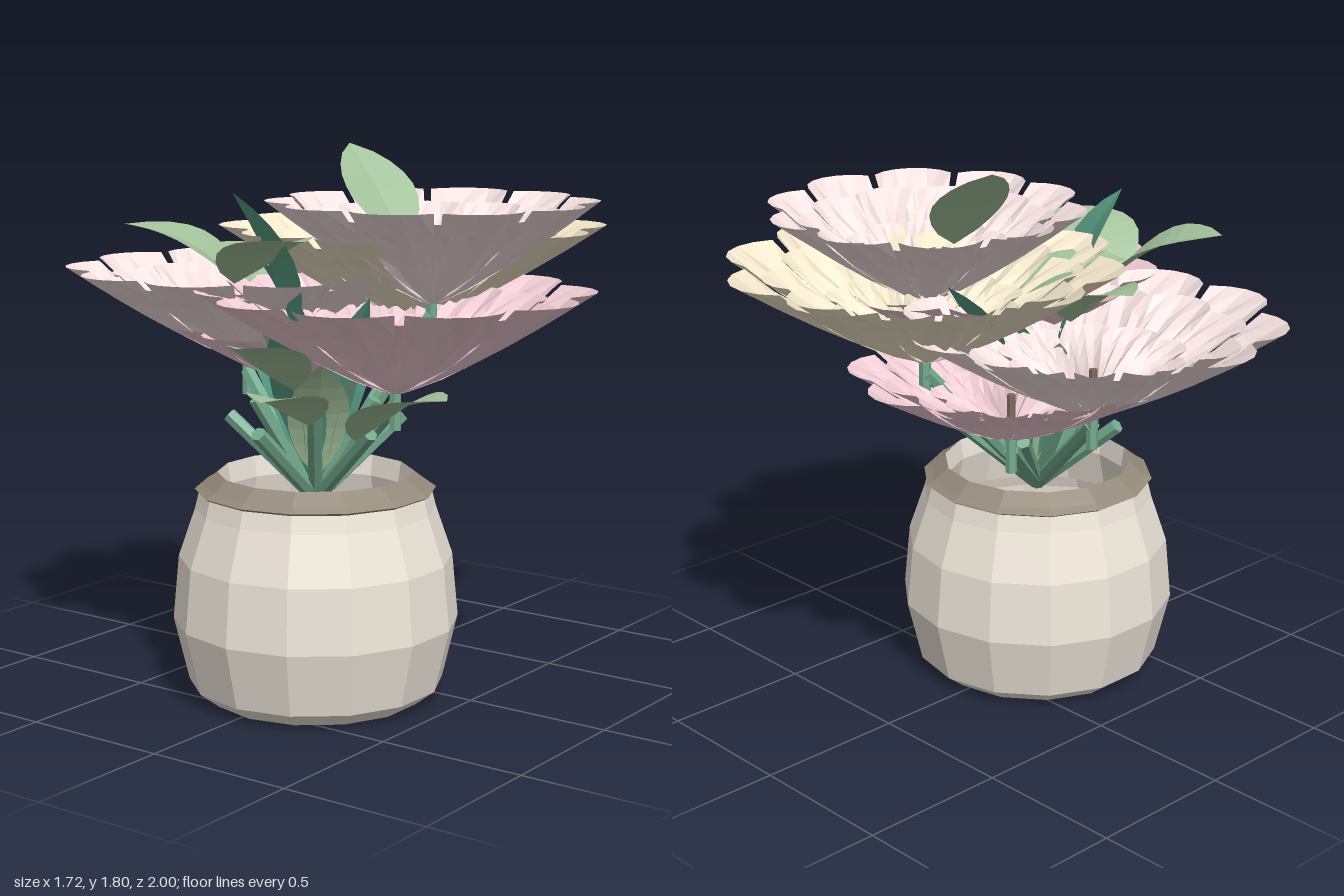
import * as THREE from 'three';

const mat = (color) => new THREE.MeshStandardMaterial({ color, flatShading: true, side: THREE.DoubleSide });
const V = (a) => new THREE.Vector3(...a);
const ceramic = mat(0xeee6da), rimMat = mat(0x958b7b);
const stemMat = mat(0x74ab8e), pistilMat = mat(0x7d6b5a);
const leafMat = mat(0xa3c29b), darkLeafMat = mat(0x5b9f86);
const palePink = mat(0xf6e2e0), cream = mat(0xf4e8cc), pink = mat(0xf0ccd4);
const POT = { x: -0.22, z: 0.03 };

// Grid surface: rule(s, t) gives a point; s runs -1..1 across, t runs 0..1 along
function sheet(across, along, rule) {
  const g = new THREE.PlaneGeometry(2, 1, across, along);
  const p = g.attributes.position;
  for (let i = 0; i < p.count; i++) p.setXYZ(i, ...rule(p.getX(i), p.getY(i) + 0.5));
  g.computeVertexNormals();
  return g;
}

function add(parent, name, geometry, material) {
  const m = new THREE.Mesh(geometry, material);
  m.name = name;
  parent.add(m);
  return m;
}

// Fan-shaped petal pointing along +z, lightly pleated, with a rounded tip and a level rim
function petalGeometry(R, H, W) {
  return sheet(6, 5, (s, t) => {
    const a = s * Math.PI * 0.36;
    const w = W * (0.12 + 0.88 * Math.pow(t, 0.85));
    const pleat = Math.round((s + 1) * 3) % 2 ? 0.018 : -0.008;
    const r = R * (0.04 + 0.96 * t) - W * t * t * (1 - Math.cos(a));
    return [-w * Math.sin(a), H * Math.pow(t, 1.1) + pleat * 4 * t * (1 - t), r];
  });
}

// Flower: rings of petals, each smaller and lower than the one outside it
function flower(name, [x, bottom, z], R, top, material, turn) {
  const f = new THREE.Group();
  f.name = name;
  const rings = [[1, 1, 10], [0.8, 0.84, 10], [0.5, 0.55, 9]];
  rings.forEach(([rs, hs, n], k) => {
    const g = petalGeometry(R * rs, (top - bottom) * hs, R * rs * 2.75 / n);
    for (let i = 0; i < n; i++) {
      const m = add(f, 'petal', g, material);
      m.rotation.y = turn + ((i + k * 0.5) / n) * Math.PI * 2;
      m.position.y = 0.015 * k;
    }
  });
  // upright stalk below, thin pistil above
  add(f, 'stalk', new THREE.CylinderGeometry(0.02, 0.02, 0.14, 6), stemMat).position.y = -0.05;
  add(f, 'pistil', new THREE.CylinderGeometry(0.014, 0.014, 0.14, 6), pistilMat).position.y = 0.08;
  f.position.set(x, bottom, z);
  return f;
}

function stem(parent, a, b) {
  const from = V(a), to = V(b), d = to.clone().sub(from);
  const m = add(parent, 'stem', new THREE.CylinderGeometry(0.025, 0.025, d.length(), 6), stemMat);
  m.position.copy(from).add(to).multiplyScalar(0.5);
  m.quaternion.setFromUnitVectors(new THREE.Vector3(0, 1, 0), d.normalize());
}

// Oval leaf from base to tip, arched along its length and folded at the midrib
function leaf(parent, a, b, width, material = leafMat, arch = 0.04) {
  const base = V(a), dir = V(b).sub(base);
  const side = dir.clone().cross(new THREE.Vector3(0, 1, 0)).normalize();
  const normal = side.clone().cross(dir).normalize();
  add(parent, 'leaf', sheet(4, 8, (s, t) => {
    const w = 0.5 * width * Math.pow(Math.max(0, Math.sin(Math.PI * Math.pow(t, 0.95))), 0.75);
    const lift = arch * Math.sin(Math.PI * t) + 0.15 * w * Math.abs(s);
    return base.clone().addScaledVector(dir, t)
      .addScaledVector(side, w * s).addScaledVector(normal, lift).toArray();
  }), material);
}

export function createModel() {
  const model = new THREE.Group();
  model.name = 'flowerPot';

  // Pot, open at the top and underneath
  const pot = new THREE.Group();
  pot.name = 'pot';
  pot.position.set(POT.x, 0, POT.z);
  pot.rotation.y = Math.PI / 2;
  const lathe = (pts) => new THREE.LatheGeometry(pts.map((p) => new THREE.Vector2(...p)), 14);
  add(pot, 'potBody', lathe([[0.355, 0], [0.42, 0.05], [0.47, 0.26], [0.45, 0.47],
    [0.395, 0.63], [0.38, 0.69]]), ceramic);
  add(pot, 'potRim', lathe([[0.37, 0.68], [0.395, 0.695], [0.37, 0.71], [0.32, 0.75]]), rimMat);
  add(pot, 'potLining', lathe([[0.32, 0.75], [0.31, 0.68], [0.34, 0.55]]), ceramic);
  model.add(pot);

  // Flowers: name, base, radius, top height, colour, turn
  const flowers = [
    ['topFlower', [0.02, 1.3, 0.32], 0.54, 1.63, palePink, 0],
    ['creamFlower', [0.23, 1.19, 0.1], 0.65, 1.525, cream, 0],
    ['frontPinkFlower', [-0.255, 1.05, 0.37], 0.63, 1.37, pink, 0],
    ['backFlower', [-0.06, 1.06, -0.38], 0.615, 1.38, palePink, 0],
    ['lowPinkFlower', [0.07, 0.945, -0.14], 0.53, 1.19, pink, 0.2],
  ];
  for (const f of flowers) model.add(flower(...f));

  // Stems: one to each flower, and a fan of short ones around the pot
  const stems = new THREE.Group();
  stems.name = 'stems';
  const root = [POT.x, 0.66, POT.z];
  for (const [, [x, y, z]] of flowers) stem(stems, root, [x, y - 0.04, z]);
  for (let i = 0; i < 10; i++) {
    const a = (i / 10) * Math.PI * 2;
    const r = i % 2 ? 0.3 : 0.2;
    stem(stems, root, [POT.x + r * Math.cos(a), i % 2 ? 0.92 : 1.0, POT.z + r * Math.sin(a)]);
  }
  model.add(stems);

  // Leaves: broad pale ones reaching out
  const leaves = new THREE.Group();
  leaves.name = 'leaves';
  leaf(leaves, [-0.04, 1.5, 0.25], [0.05, 1.8, -0.03], 0.27, leafMat, 0.01);
  leaf(leaves, [-0.44, 1.38, -0.1], [-0.6, 1.56, -0.44], 0.33);
  leaf(leaves, [-0.47, 1.38, -0.1], [-0.56, 1.54, 0.25], 0.31);
  leaf(leaves, [-0.42, 1.05, 0.1], [-0.86, 1.25, 0.22], 0.24);
  leaf(leaves, [-0.4, 0.94, 0.14], [-0.82, 1.09, 0.28], 0.24);
  leaf(leaves, [-0.4, 0.91, 0.32], [-0.43, 1.08, 0.68], 0.32);
  leaf(leaves, [-0.16, 1.3, -0.18], [-0.13, 1.46, -0.48], 0.28);
  leaf(leaves, [-0.08, 1.36, 0], [-0.4, 1.47, -0.2], 0.28);

  // Dark upright leaves filling the middle
  leaf(leaves, [-0.32, 1.2, 0.02], [-0.5, 1.67, -0.08], 0.24, darkLeafMat);
  leaf(leaves, [-0.2, 1.05, -0.05], [-0.32, 1.46, -0.14], 0.26, darkLeafMat);
  leaf(leaves, [0.02, 1.1, 0], [0.2, 1.45, 0.02], 0.2, darkLeafMat);
  for (let i = 0; i < 9; i++) {
    const a = i * 0.7 + 0.3;
    const at = (r, y) => [POT.x + r * Math.cos(a), y, POT.z + r * Math.sin(a)];
    leaf(leaves, at(0.04, 0.74), at(0.24, 1.14 + 0.1 * (i % 3)), 0.2, i % 2 ? leafMat : darkLeafMat, 0.03);
  }
  model.add(leaves);
  return model;
}
